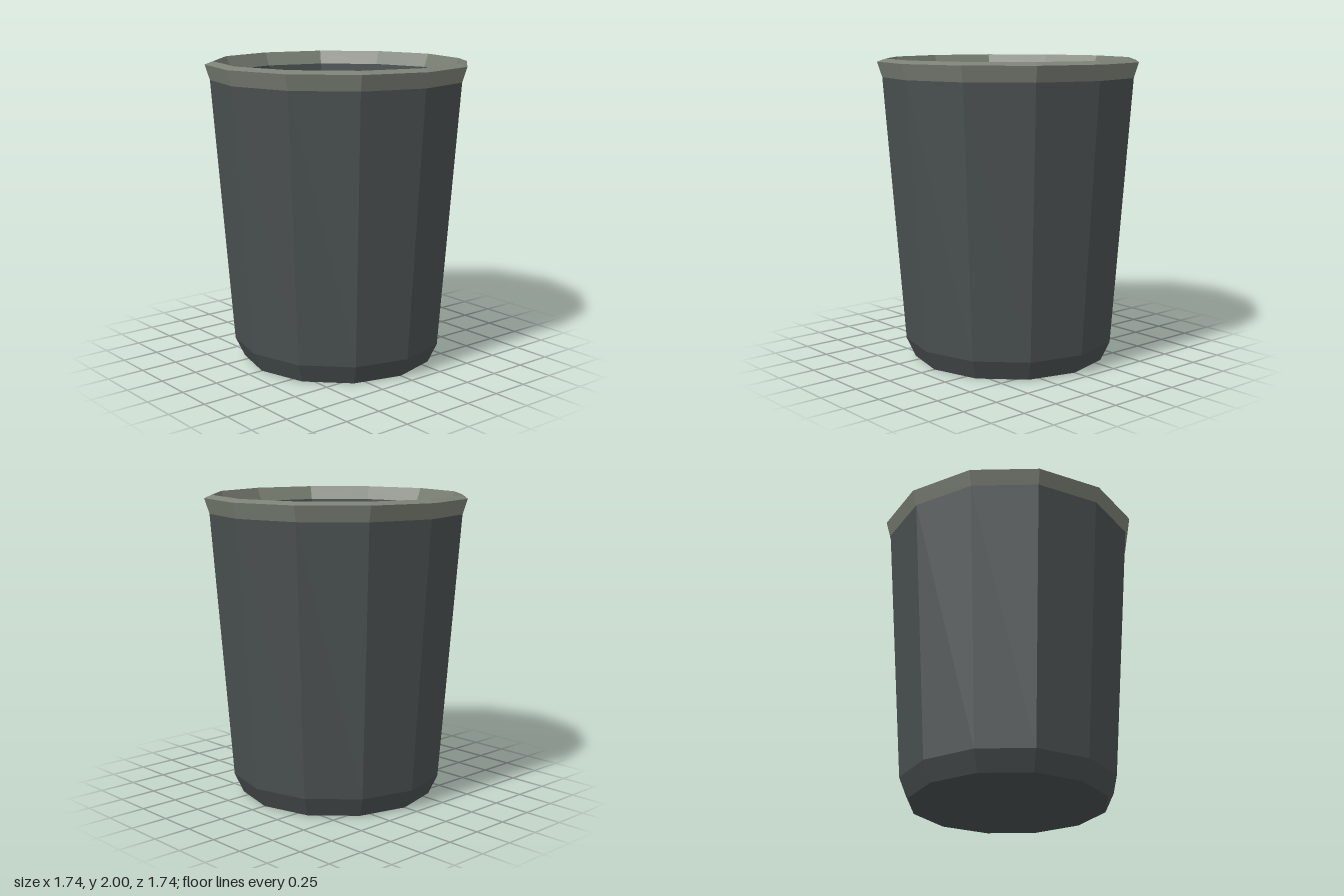
import * as THREE from 'three';

const SIDES = 12;

// Faceted lathe: each [radius, height] profile runs up the outside, then down the inside
function facetedLathe(name, profile, material) {
  const points = profile.map(([r, y]) => new THREE.Vector2(r, y));
  const geometry = new THREE.LatheGeometry(points, SIDES).toNonIndexed();
  geometry.computeVertexNormals();
  const mesh = new THREE.Mesh(geometry, material);
  mesh.name = name;
  return mesh;
}

export function createModel() {
  const bodyGrey = new THREE.MeshStandardMaterial({ color: 0x4a5051 });
  bodyGrey.name = 'darkGrey';
  const rimGrey = new THREE.MeshStandardMaterial({ color: 0x7b8176 });
  rimGrey.name = 'lightGrey';

  const group = new THREE.Group();
  group.name = 'cup';

  // Tapered outer wall with a chamfered foot and flat base
  group.add(facetedLathe('outerWall', [[0, 0], [0.645, 0], [0.706, 0.13], [0.838, 1.88]], bodyGrey));

  // Flared rim: outer band, sloping top, inner band
  group.add(facetedLathe('rim', [[0.838, 1.88], [0.87, 1.98], [0.815, 2], [0.777, 1.91]], rimGrey));

  // Hollow inside and floor
  group.add(facetedLathe('innerWall', [[0.777, 1.91], [0.63, 0.07]], bodyGrey));
  group.add(facetedLathe('floor', [[0.63, 0.07], [0, 0.07]], bodyGrey));

  return group;
}
